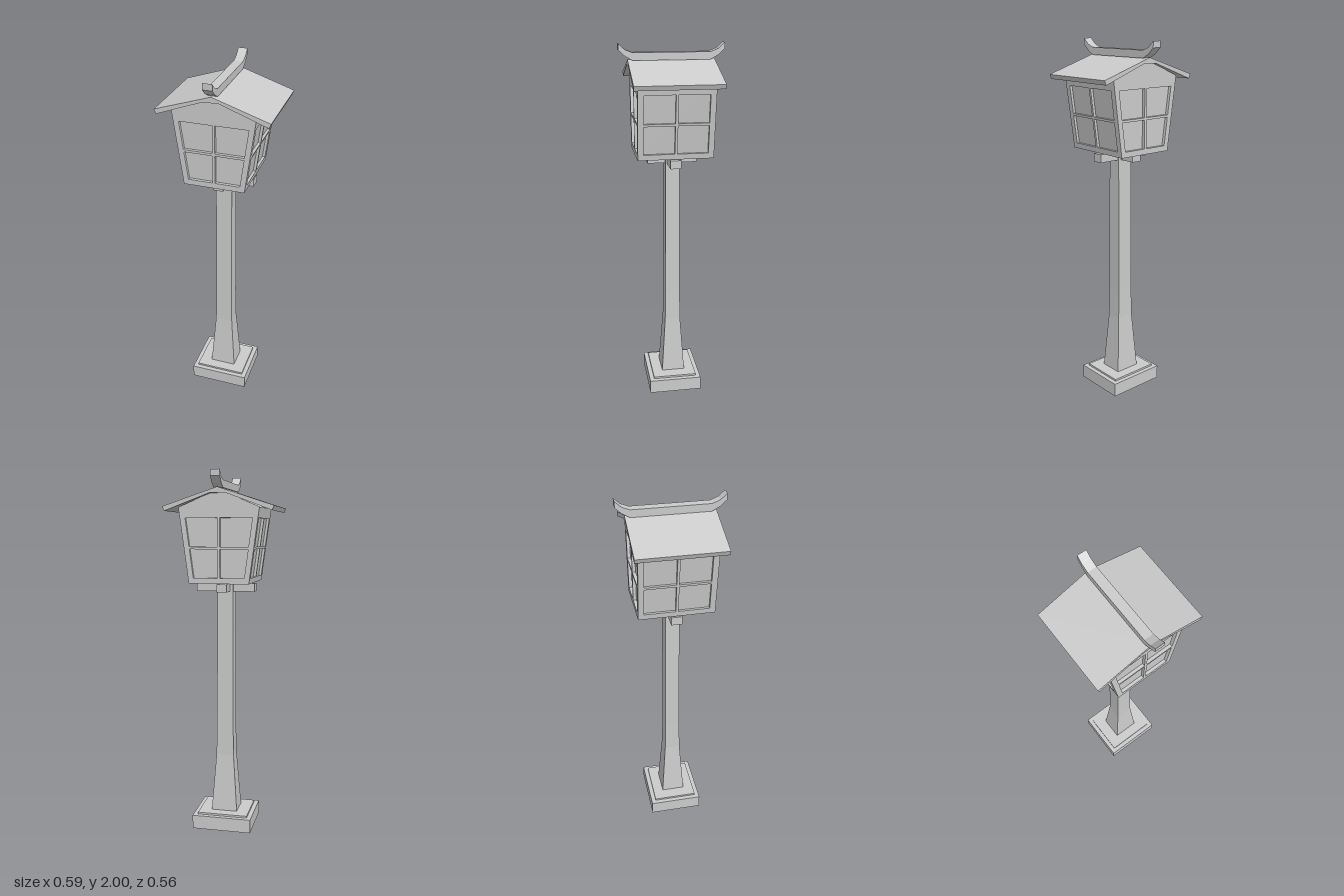
import * as THREE from 'three';

const material = new THREE.MeshStandardMaterial({ color: 0xcccccc, flatShading: true });

const BOTTOM = 1.415, EAVE = 1.815;
// Half width of the lantern, which flares towards the roof
const halfWidth = (y) => 0.163 + (0.217 - 0.163) * (y - BOTTOM) / (EAVE - BOTTOM);

function add(parent, name, geometry) {
  const mesh = new THREE.Mesh(geometry, material);
  mesh.name = name;
  parent.add(mesh);
  return mesh;
}

// Box between two heights, given by half sizes in x and z
function block(parent, name, hx, hz, y0, y1) {
  const g = new THREE.BoxGeometry(hx * 2, y1 - y0, hz * 2);
  g.translate(0, (y0 + y1) / 2, 0);
  return add(parent, name, g);
}

const polygon = (points) => new THREE.Shape(points.map(([x, y]) => new THREE.Vector2(x, y)));

// Extrusion centred on z = 0
function slab(shape, depth) {
  const g = new THREE.ExtrudeGeometry(shape, { depth, bevelEnabled: false });
  return g.translate(0, 0, -depth / 2);
}

// Outline of the gabled lantern, moved inwards by an inset
function house(inset) {
  const b = halfWidth(BOTTOM) - inset, e = halfWidth(EAVE) - inset;
  return polygon([[-b, BOTTOM], [b, BOTTOM], [e, EAVE], [0.04, 1.89], [-0.04, 1.89], [-e, EAVE]]);
}

// Cut four window openings, leaving a cross of glazing bars
function cutWindows(shape, reach) {
  const bar = 0.007;
  for (const [y0, y1] of [[1.445, 1.597], [1.61, 1.76]]) {
    for (const s of [-1, 1]) {
      shape.holes.push(polygon([
        [s * bar, y0], [s * reach(y0), y0], [s * reach(y1), y1], [s * bar, y1],
      ]));
    }
  }
  return shape;
}

export function createModel() {
  const model = new THREE.Group();
  model.name = 'postLantern';

  // Stepped foot
  block(model, 'basePlinth', 0.168, 0.15, 0, 0.078);
  block(model, 'baseStep', 0.143, 0.125, 0.078, 0.089);

  // Post: flared foot running into a straight shaft
  const levels = [[0.089, 0.074, 0.066], [0.42, 0.05, 0.044], [0.6, 0.047, 0.042], [1.415, 0.044, 0.038]];
  const postGeo = new THREE.BoxGeometry(2, 1, 2, 1, levels.length - 1, 1);
  const p = postGeo.attributes.position;
  for (let i = 0; i < p.count; i++) {
    const [y, hx, hz] = levels[Math.round((p.getY(i) + 0.5) * (levels.length - 1))];
    p.setXYZ(i, p.getX(i) * hx, y, p.getZ(i) * hz);
  }
  add(model, 'post', postGeo);

  // Crossed brackets below the lantern
  block(model, 'bracketAcross', 0.163, 0.03, 1.363, 1.408);
  block(model, 'bracketAlong', 0.028, 0.135, 1.364, 1.407);
  block(model, 'bracketPlate', 0.11, 0.08, 1.407, 1.416);

  // Lantern: solid core carries the recessed panes
  const lantern = new THREE.Group();
  lantern.name = 'lanternBox';
  model.add(lantern);
  add(lantern, 'panes', slab(house(0.015), 0.372));

  // Gable frames front and back
  const gable = cutWindows(house(0), (y) => halfWidth(y) - 0.029);
  for (const s of [-1, 1]) {
    add(lantern, s > 0 ? 'frontFrame' : 'backFrame', slab(gable, 0.02)).position.z = s * 0.193;
  }

  // Side frames, leaning outwards with the flare
  const wall = polygon([[-0.184, BOTTOM], [0.184, BOTTOM], [0.184, EAVE], [-0.184, EAVE]]);
  const sideGeo = slab(cutWindows(wall, () => 0.172), 0.016);
  sideGeo.rotateY(Math.PI / 2);
  const q = sideGeo.attributes.position;
  for (let i = 0; i < q.count; i++) q.setX(i, q.getX(i) + halfWidth(q.getY(i)) - 0.008);
  sideGeo.computeVertexNormals();
  add(lantern, 'leftFrame', sideGeo);
  add(lantern, 'rightFrame', sideGeo).rotation.y = Math.PI;

  // Pitched roof
  add(model, 'roof', slab(polygon([
    [0, 1.917], [-0.297, 1.82], [-0.287, 1.796], [-0.04, 1.887],
    [0.04, 1.887], [0.287, 1.796], [0.297, 1.82],
  ]), 0.462));

  // Ridge beam with upswept ends
  const half = [[0.205, 1.913], [0.245, 1.935], [0.28, 1.967], [0.28, 2], [0.245, 1.969], [0.205, 1.953]];
  const mirrored = half.map(([z, y]) => [-z, y]).reverse();
  const ridge = slab(polygon([...half, ...mirrored]), 0.05);
  add(model, 'ridgeBeam', ridge.rotateY(Math.PI / 2));

  return model;
}
